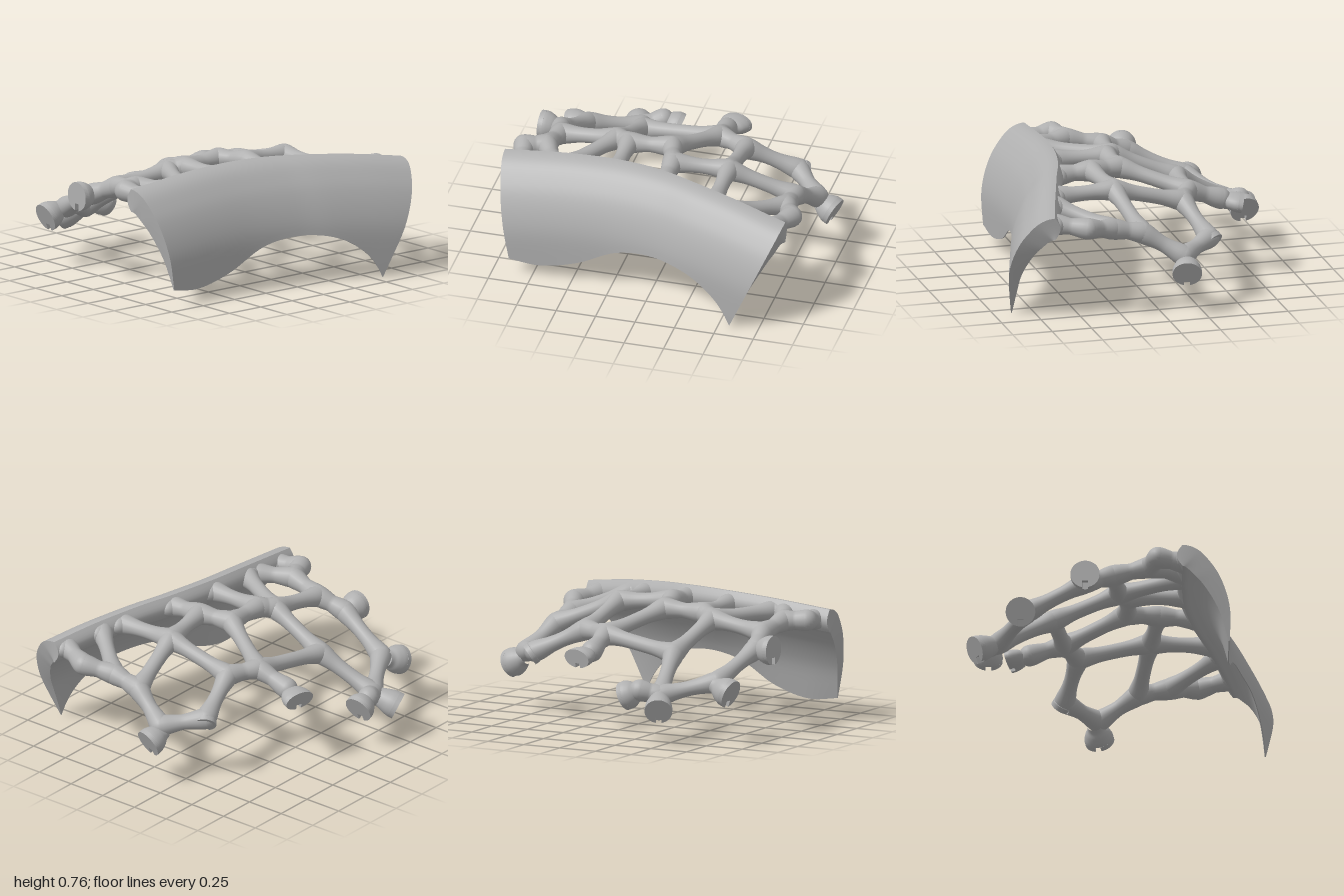
import * as THREE from 'three';
import { mergeGeometries } from 'three/addons/utils/BufferGeometryUtils.js';

const grey = new THREE.MeshStandardMaterial({ color: 0xb0b0b0 });
grey.name = 'plain grey';

// smooth one-dimensional lookup
function curve(keys, values) {
  const c = new THREE.CubicInterpolant(keys, values, 1);
  return (x) => c.evaluate(Math.min(Math.max(x, keys[0]), keys[keys.length - 1]))[0];
}

// surface patch from a function of two parameters
function patch(fn, na, nb) {
  const pos = [], index = [];
  for (let a = 0; a <= na; a++) {
    for (let b = 0; b <= nb; b++) {
      pos.push(...fn(a / na, b / nb));
      if (a < na && b < nb) {
        const i = a * (nb + 1) + b, j = i + nb + 1;
        index.push(i, j, i + 1, j, j + 1, i + 1);
      }
    }
  }
  const g = new THREE.BufferGeometry();
  g.setAttribute('position', new THREE.Float32BufferAttribute(pos, 3));
  g.setIndex(index);
  g.computeVertexNormals();
  return g;
}

// curved shell: rules along its length (z) and down its profile (root of the drop)
const edgeX = curve([-0.87, -0.66, -0.45, -0.24, -0.04, 0.24, 0.5, 1],
  [0.66, 0.6, 0.535, 0.47, 0.405, 0.35, 0.33, 0.325]);
const crestY = curve([-0.87, -0.5, 0, 0.5, 1], [0.68, 0.73, 0.76, 0.745, 0.7]);
const lowY = curve([-0.57, -0.5, -0.4, -0.23, -0.07, 0.09, 0.25, 0.46, 0.72, 0.9],
  [0, 0.08, 0.17, 0.27, 0.31, 0.31, 0.27, 0.15, 0.08, 0.1]);
const profileX = curve([0, 0.173, 0.316, 0.424, 0.566, 0.648, 0.775, 0.849],
  [0.035, 0.13, 0.2, 0.255, 0.31, 0.328, 0.325, 0.318]);

// u: front to back, v: top to bottom, w: outside to inside
function shellPoint(u, v, w) {
  const zLow = 0.9 - 1.47 * u;
  const s = v * Math.sqrt(crestY(zLow) - lowY(zLow));
  const d = s * s;
  const z = THREE.MathUtils.lerp(1 - 0.17 * d, -0.87 + 0.42 * d, u);
  const slope = (profileX(s + 0.01) - profileX(Math.max(s - 0.01, 0))) / (s < 0.01 ? s + 0.01 : 0.02);
  const len = Math.hypot(2 * s, slope);
  const t = w * (0.006 + 0.135 * (1 - v ** 3));
  const nose = 0.035 * Math.sin(Math.PI * w) * Math.max(0, 1 - 5 * v);
  return [edgeX(z) + profileX(s) - nose - t * 2 * s / len, crestY(z) - d - t * slope / len, z];
}

function shellGeometry() {
  const N = 56, M = 24, R = 8;
  return mergeGeometries([
    patch((a, b) => shellPoint(b, a, 0), M, N), // outside
    patch((a, b) => shellPoint(a, b, 1), N, M), // inside
    patch((a, b) => shellPoint(a, 0, b), N, R), // rounded top rim
    patch((a, b) => shellPoint(b, 1, a), 2, N), // bottom rim
    patch((a, b) => shellPoint(0, b, a), R, M), // front end
    patch((a, b) => shellPoint(1, a, b), M, R), // back end
  ]);
}

// lattice joints
const J = {
  b: [-0.13, 0.365, -0.85], c: [-0.34, 0.41, -0.67], d: [0.11, 0.51, -0.77],
  e: [0.3, 0.55, -0.77], f: [0.48, 0.59, -0.85], h: [-0.26, 0.56, -0.36], i: [0.18, 0.67, -0.37],
  k: [-0.35, 0.56, -0.17], l: [-0.56, 0.485, -0.155], m: [0.03, 0.68, 0.03], n: [0.23, 0.695, -0.03],
  p: [-0.42, 0.49, 0.34], q: [-0.02, 0.65, 0.39], r: [0.04, 0.67, 0.3],
  s: [-0.06, 0.6, 0.76], u: [0.16, 0.645, 0.79], u2: [0.21, 0.65, 0.92],
  v: [-0.23, 0.53, 0.81], w: [-0.58, 0.37, 0.73], x: [-0.76, 0.29, 0.43], y: [-0.815, 0.32, 0.32],
};
// joints that melt into the shell, by their z
const ROOTS = { f2: -0.77, g: -0.52, j: -0.38, o: -0.03, r2: 0.29, q2: 0.6, t: 0.68, u3: 0.89 };
for (const [name, z] of Object.entries(ROOTS)) J[name] = [edgeX(z) + 0.045, crestY(z) - 0.08, z];

const STRUTS = ('b-c b-d c-h d-e d-i e-f f-f2 e-g h-i h-k i-j i-n k-l k-m k-p m-n n-o m-r '
  + 'r-r2 r-q q-q2 q-p q-s p-x x-w x-y w-v v-s s-u u-t u-u2 u2-u3').split(' ');

const vec = (a) => new THREE.Vector3(...a);

// strut that flares smoothly into its joints
function strut(a, b) {
  const len = a.distanceTo(b), pts = [];
  for (let i = 0; i <= 16; i++) {
    const y = len * i / 16, near = Math.min(y, len - y);
    pts.push(new THREE.Vector2(0.046 + 0.02 * Math.exp(-((near / 0.09) ** 2)), y));
  }
  const mesh = new THREE.Mesh(new THREE.LatheGeometry(pts, 20), grey);
  mesh.position.copy(a);
  mesh.quaternion.setFromUnitVectors(new THREE.Vector3(0, 1, 0), b.clone().sub(a).normalize());
  return mesh;
}

// domed foot with a slot cut in its flat end
function foot(a, b, r) {
  const group = new THREE.Group();
  const len = a.distanceTo(b), depth = 0.03, end = len - depth;
  const pts = [[0.048, 0], [0.055, end * 0.25], [r * 0.8, end * 0.5], [r * 0.95, end * 0.8], [r, end]]
    .map((p) => new THREE.Vector2(...p));
  const smooth = new THREE.SplineCurve(pts).getPoints(14);
  smooth.push(new THREE.Vector2(r, end), new THREE.Vector2(0, end));
  const dome = new THREE.Mesh(new THREE.LatheGeometry(smooth, 28), grey);
  dome.rotation.x = Math.PI / 2;
  const half = 0.018, gap = Math.asin(half / r);
  const shape = new THREE.Shape();
  shape.absarc(0, 0, r, -Math.PI / 2 + gap, Math.PI * 1.5 - gap, false);
  shape.lineTo(-half, -r * 0.5);
  shape.lineTo(half, -r * 0.5);
  const rim = new THREE.Mesh(
    new THREE.ExtrudeGeometry(shape, { depth, bevelEnabled: false, curveSegments: 28 }), grey);
  rim.position.z = end;
  group.add(dome, rim);
  group.position.copy(a);
  group.lookAt(b);
  return group;
}

export function createModel() {
  const model = new THREE.Group();
  model.name = 'latticeBrace';

  const shell = new THREE.Mesh(shellGeometry(), grey);
  shell.name = 'curvedShell';
  model.add(shell);

  const lattice = new THREE.Group();
  lattice.name = 'lattice';
  for (const s of STRUTS) {
    const [a, b] = s.split('-').map((n) => vec(J[n]));
    const mesh = strut(a, b);
    mesh.name = 'strut';
    lattice.add(mesh);
  }
  const ball = new THREE.SphereGeometry(0.066, 20, 14);
  for (const [name, p] of Object.entries(J)) {
    const mesh = new THREE.Mesh(ball, grey);
    mesh.name = 'joint';
    mesh.position.set(...p);
    if (name in ROOTS) mesh.scale.set(1, 0.95, 1.5);
    lattice.add(mesh);
  }
  model.add(lattice);

  // feet: start point, end point, radius, flattening
  const feet = [
    [J.x, [-0.905, 0.215, 0.5], 0.085, 1], [J.y, [-0.82, 0.275, 0.215], 0.09, 1],
    [[-0.62, 0.36, 0.73], [-0.63, 0.31, 0.855], 0.09, 1], [J.v, [-0.235, 0.53, 0.935], 0.09, 1],
    [[-0.15, 0.335, -0.84], [-0.12, 0.28, -0.96], 0.09, 1], [J.l, [-0.69, 0.455, -0.19], 0.1, 0.6],
    [J.c, [-0.36, 0.385, -0.7], 0.068, 1],
  ];
  for (const [start, end, r, flat] of feet) {
    const mesh = foot(vec(start), vec(end), r);
    mesh.scale.y = flat;
    mesh.name = 'foot';
    model.add(mesh);
  }
  return model;
}
